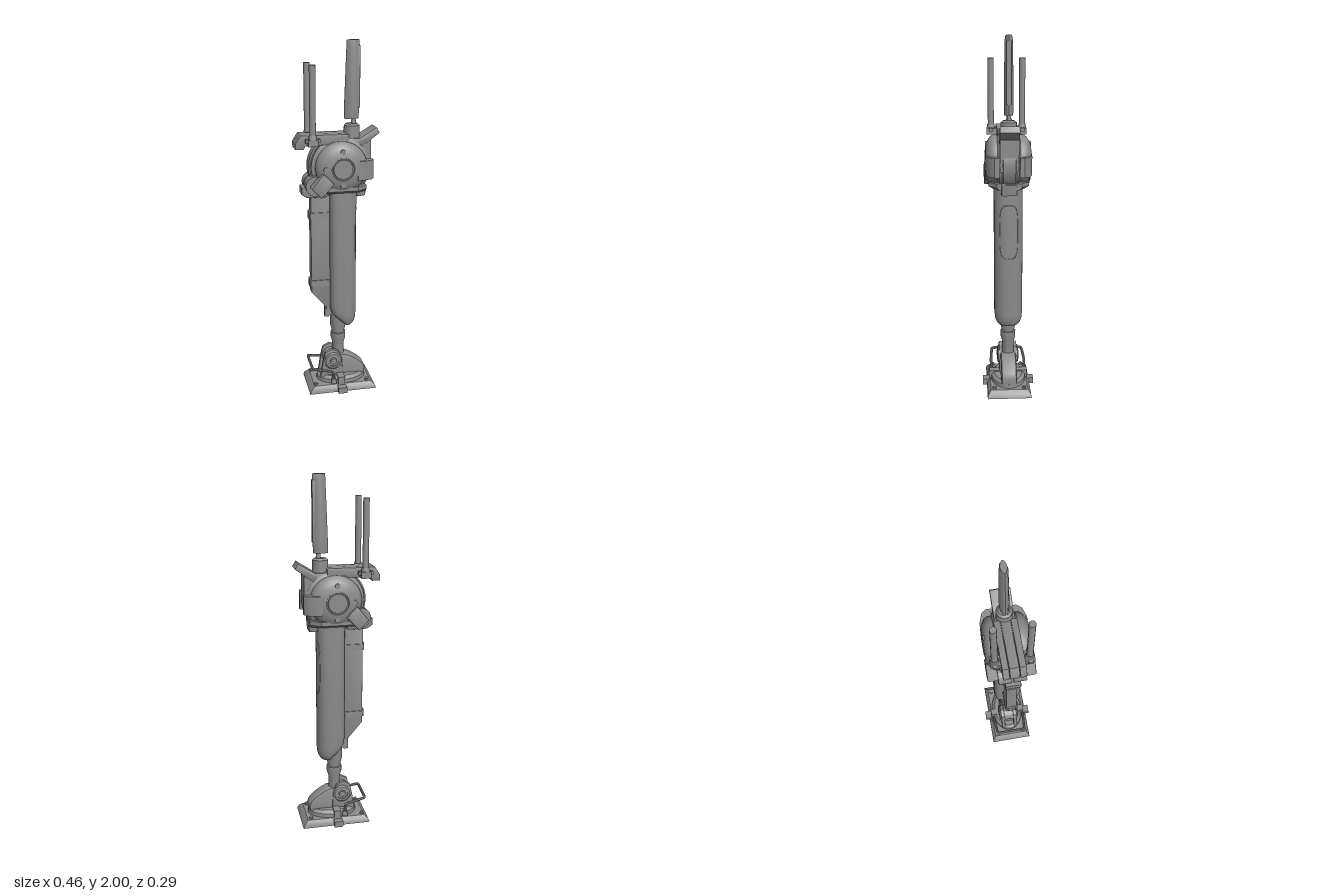
import * as THREE from 'three';
import { toCreasedNormals } from 'three/addons/utils/BufferGeometryUtils.js';

const material = new THREE.MeshStandardMaterial({ color: 0x8c8c8c, side: THREE.DoubleSide });
const HUB = [0.013, 1.335];

export function createModel() {
  const root = new THREE.Group();

  const add = (name, geo, x = 0, y = 0, z = 0) => {
    const mesh = new THREE.Mesh(toCreasedNormals(geo, 0.6), material);
    mesh.name = name;
    mesh.position.set(x, y, z);
    root.add(mesh);
    return mesh;
  };
  const box = (name, w, h, d, x, y, z = 0) => add(name, new THREE.BoxGeometry(w, h, d), x, y, z);
  const cyl = (name, rTop, rBottom, h, x, y, z = 0, n = 24) =>
    add(name, new THREE.CylinderGeometry(rTop, rBottom, h, n), x, y, z);
  // Side profile extruded along z and centred on z
  const slab = (name, pts, depth, z = 0, bevel = 0) => {
    const shape = new THREE.Shape(pts.map(p => new THREE.Vector2(...p)));
    const geo = new THREE.ExtrudeGeometry(shape, {
      depth: depth - 2 * bevel, bevelEnabled: bevel > 0,
      bevelSize: bevel, bevelOffset: -bevel, bevelThickness: bevel, bevelSegments: 2,
    });
    geo.translate(0, 0, -(depth - 2 * bevel) / 2);
    return add(name, geo, 0, 0, z);
  };
  // Profile of [radius, z] turned about the z axis
  const turned = (name, pts, x, y, side = 1) => {
    const geo = new THREE.LatheGeometry(pts.map(p => new THREE.Vector2(...p)), 40);
    geo.rotateX(side * Math.PI / 2);
    return add(name, geo, x, y, 0);
  };
  const tube = (name, pts, r, closed = false) => {
    const curve = new THREE.CatmullRomCurve3(pts.map(p => new THREE.Vector3(...p)), closed, 'catmullrom', 0.15);
    return add(name, new THREE.TubeGeometry(curve, 64, r, 8, closed));
  };
  // Closed rings of points joined into a skin with end caps
  const loft = (name, rings) => {
    const n = rings[0].length, pos = [], idx = [];
    rings.forEach(r => r.forEach(p => pos.push(...p)));
    for (let k = 0; k < rings.length - 1; k++) for (let i = 0; i < n; i++) {
      const a = k * n + i, b = k * n + (i + 1) % n;
      idx.push(a, b, a + n, b, b + n, a + n);
    }
    for (let i = 1; i < n - 1; i++) {
      const e = (rings.length - 1) * n;
      idx.push(0, i + 1, i, e, e + i, e + i + 1);
    }
    const geo = new THREE.BufferGeometry();
    geo.setAttribute('position', new THREE.Float32BufferAttribute(pos, 3));
    geo.setIndex(idx);
    return add(name, geo);
  };
  // Rings run from +x towards -z, so that lofted skins face outwards
  const ring = (n, f) => Array.from({ length: n }, (_, i) => f(Math.cos(i / n * Math.PI * 2), -Math.sin(i / n * Math.PI * 2)));

  // Foot plate and ankle base
  const plate = [[0.215, 0.125, 0.003], [0.208, 0.122, 0.022], [0.185, 0.105, 0.043]];
  loft('footPlate', plate.map(([x, z, y]) =>
    [[x, y, z], [x, y, -z], [0.035 - x, y, -z], [0.035 - x, y, z]]));
  box('footSideTab', 0.05, 0.035, 0.295, 0.01, 0.02);
  box('footSideStrap', 0.04, 0.085, 0.22, 0.01, 0.045);
  const oval = (y, rx, rz) => ring(32, (c, s) => [0.025 + rx * c, y, rz * s]);
  loft('footCollar', [oval(0.035, 0.145, 0.1), oval(0.065, 0.143, 0.098), oval(0.08, 0.125, 0.08)]);
  slab('toeHump', [[-0.07, 0.06], [0.165, 0.06], [0.168, 0.1], [0.157, 0.127], [0.125, 0.157],
    [0.085, 0.184], [0.05, 0.202], [0, 0.205], [-0.05, 0.17]], 0.09, 0, 0.018);
  for (const s of [1, -1]) {
    slab('ankleCheek', [[-0.105, 0.06], [0.03, 0.06], [0.025, 0.17], [0.005, 0.225], [-0.035, 0.245], [-0.075, 0.225], [-0.09, 0.16]],
      0.022, s * 0.04, 0.004);
    turned('anklePivot', [[0.052, 0], [0.052, 0.055], [0.045, 0.061], [0.033, 0.061], [0.033, 0.054], [0.02, 0.054], [0.018, 0.064], [0, 0.064]], -0.028, 0.17, s);
    for (const x of [-0.14, 0.165]) cyl('footBolt', 0.01, 0.012, 0.014, x, 0.048, s * 0.085, 8);
    cyl('handleSocket', 0.014, 0.016, 0.03, -0.035, 0.065, s * 0.098, 12);
  }
  // Handle bar looping round the heel
  tube('handleBar', [[-0.035, 0.06, 0.098], [-0.038, 0.115, 0.098], [-0.05, 0.126, 0.098], [-0.15, 0.146, 0.09], [-0.158, 0.148, 0.075],
    [-0.158, 0.148, -0.075], [-0.15, 0.146, -0.09], [-0.05, 0.126, -0.098], [-0.038, 0.115, -0.098], [-0.035, 0.06, -0.098]], 0.008);

  // Ankle post
  const post = [[0, 0.17], [0.034, 0.17], [0.034, 0.27], [0.043, 0.3], [0.043, 0.335], [0.037, 0.338],
    [0.037, 0.348], [0.047, 0.385], [0.047, 0.5], [0, 0.5]];
  add('anklePost', new THREE.LatheGeometry(post.map(p => new THREE.Vector2(...p)), 28), 0.01);

  // Main leg shell: rounded front, flatter back, slanting lower end
  const legX = z => 0.033 + 0.078 * Math.pow(Math.max(0, 1 - Math.pow(Math.abs(z) / 0.08, 2.3)), 1 / 2.3);
  const legRing = (lift, k) => ring(48, (c, s) => {
    const p = c > 0 ? 2.3 : 3.6;
    const r = Math.pow(Math.pow(Math.abs(c), p) + Math.pow(Math.abs(s), p), -1 / p);
    const x = 0.033 + 0.078 * r * c;
    const y = lift === null ? 1.2 : 0.393 + lift + Math.max(0, 0.055 - x) * 0.62;
    return [0.04 + (x - 0.04) * k, y, 0.08 * r * s * k];
  });
  loft('legShell', [legRing(0, 0.72), legRing(0.015, 0.86), legRing(0.035, 0.95), legRing(0.07, 1), legRing(null, 1)]);
  box('legSpine', 0.035, 0.74, 0.045, -0.045, 0.82);
  const q = v => Math.sign(v) * Math.sqrt(Math.abs(v));
  const panel = ring(32, (c, s) => [legX(0.05 * q(c)), 0.95 + 0.152 * q(s), 0.05 * q(c)]);
  tube('legPanelSeam', panel, 0.0015, true);

  // Rear strut with clips and lower rod
  slab('rearStrut', [[-0.04, 1.18], [-0.15, 1.18], [-0.15, 0.605], [-0.065, 0.505], [-0.04, 0.505]], 0.062, 0, 0.005);
  box('rearRod', 0.026, 0.14, 0.03, -0.058, 0.51);
  for (const y of [1.06, 0.66]) {
    box('strutBand', 0.108, 0.034, 0.072, -0.101, y);
    box('strutClip', 0.012, 0.044, 0.045, -0.153, y);
  }

  // Collar between leg and hub
  slab('collar', [[-0.2, 1.185], [-0.17, 1.165], [-0.06, 1.165], [-0.05, 1.195], [0.1, 1.195], [0.11, 1.16],
    [0.155, 1.165], [0.16, 1.225], [-0.2, 1.225]], 0.085, 0, 0.006);
  const collarRing = (y, z) => [[0.155, y, z * 0.6], [0.155, y, -z * 0.6], [0.1, y, -z], [-0.1, y, -z], [-0.1, y, z], [0.1, y, z]];
  loft('collarFlange', [collarRing(1.195, 0.085), collarRing(1.21, 0.11), collarRing(1.232, 0.11)]);
  box('hubNeck', 0.2, 0.12, 0.13, 0.02, 1.25);

  // Hub with side drums, bolts and clamps
  turned('hubDisc', [[0, -0.04], [0.166, -0.04], [0.174, -0.032], [0.174, 0.032], [0.166, 0.04], [0, 0.04]], ...HUB);
  // Front clamp plan, as [x, -z], extruded upwards
  const clampPlan = [[0.095, 0.06], [0.095, 0.125], [0.12, 0.124], [0.17, 0.106], [0.19, 0.08], [0.19, 0.055]];
  for (const s of [1, -1]) {
    turned('sideDrum', [[0.162, 0], [0.162, 0.052], [0.142, 0.062], [0.142, 0.08], [0.132, 0.098], [0.112, 0.112],
      [0.085, 0.123], [0.062, 0.126], [0.06, 0.12], [0.054, 0.12], [0.052, 0.128], [0, 0.128]], ...HUB, s);
    for (let i = 0; i < 4; i++) {
      const a = i * Math.PI / 2;
      const bolt = cyl('drumBolt', 0.015, 0.015, 0.02, HUB[0] + 0.092 * Math.cos(a), HUB[1] + 0.092 * Math.sin(a), s * 0.114, 10);
      bolt.rotation.x = Math.PI / 2;
    }
    const plan = new THREE.Shape(clampPlan.map(([x, z]) => new THREE.Vector2(x, s * z)));
    const clamp = new THREE.ExtrudeGeometry(plan, { depth: 0.105, bevelEnabled: false });
    clamp.rotateX(-Math.PI / 2);
    add('frontClamp', clamp, 0, 1.27, 0);
    slab('rearClamp', [[-0.16, 1.235], [-0.095, 1.315], [-0.062, 1.287], [-0.035, 1.255], [-0.105, 1.18]], 0.065, s * 0.098, 0.008);
    const knuckle = cyl('rearKnuckle', 0.055, 0.055, 0.07, -0.127, 1.237, s * 0.04);
    knuckle.rotation.x = Math.PI / 2;
    // Antenna rods on mounts
    cyl('antennaRod', 0.017, 0.017, 0.37, -0.145, 1.695, s * 0.088, 16);
    cyl('antennaSocket', 0.02, 0.024, 0.025, -0.145, 1.505, s * 0.088, 16);
    box('antennaMount', 0.054, 0.035, 0.052, -0.145, 1.478, s * 0.086);
    box('antennaClip', 0.08, 0.02, 0.024, -0.145, 1.488, s * 0.088);
  }
  box('frontBlock', 0.06, 0.17, 0.1, 0.152, 1.385);

  // Upper arm of three stacked plates
  const arm = [[-0.233, 1.437], [-0.19, 1.437], [-0.18, 1.455], [0.058, 1.462], [0.058, 1.508], [0.05, 1.513], [-0.205, 1.513], [-0.233, 1.47]];
  for (const [z, d] of [[-0.0435, 0.034], [0, 0.05], [0.0435, 0.034]]) slab('armPlate', arm, d, z, 0.004);

  // Slanted flap
  slab('flap', [[0.06, 1.44], [0.13, 1.44], [0.23, 1.513], [0.212, 1.543], [0.12, 1.487], [0.06, 1.487]], 0.105, 0, 0.003);

  // Blade on its mounting post
  cyl('bladeMount', 0.043, 0.046, 0.085, 0.085, 1.51, 0, 16);
  cyl('bladeNeck', 0.03, 0.042, 0.01, 0.085, 1.557, 0, 16);
  cyl('bladePin', 0.011, 0.015, 0.05, 0.095, 1.575, 0, 12);
  const bladeRing = (y, x0, x1, h) => ring(20, (c, s) =>
    [(x0 + x1) / 2 + (x1 - x0) / 2 * c, y, h * s * (1 - 0.25 * Math.abs(c))]);
  loft('blade', [bladeRing(1.588, 0.042, 0.122, 0.024), bladeRing(1.65, 0.042, 0.126, 0.026),
    bladeRing(1.97, 0.054, 0.126, 0.022), bladeRing(2, 0.056, 0.124, 0.017)]);
  slab('bladeEdge', [[0.1, 1.645], [0.128, 1.645], [0.128, 1.97], [0.1, 1.97]], 0.03, 0, 0.006);

  return root;
}
